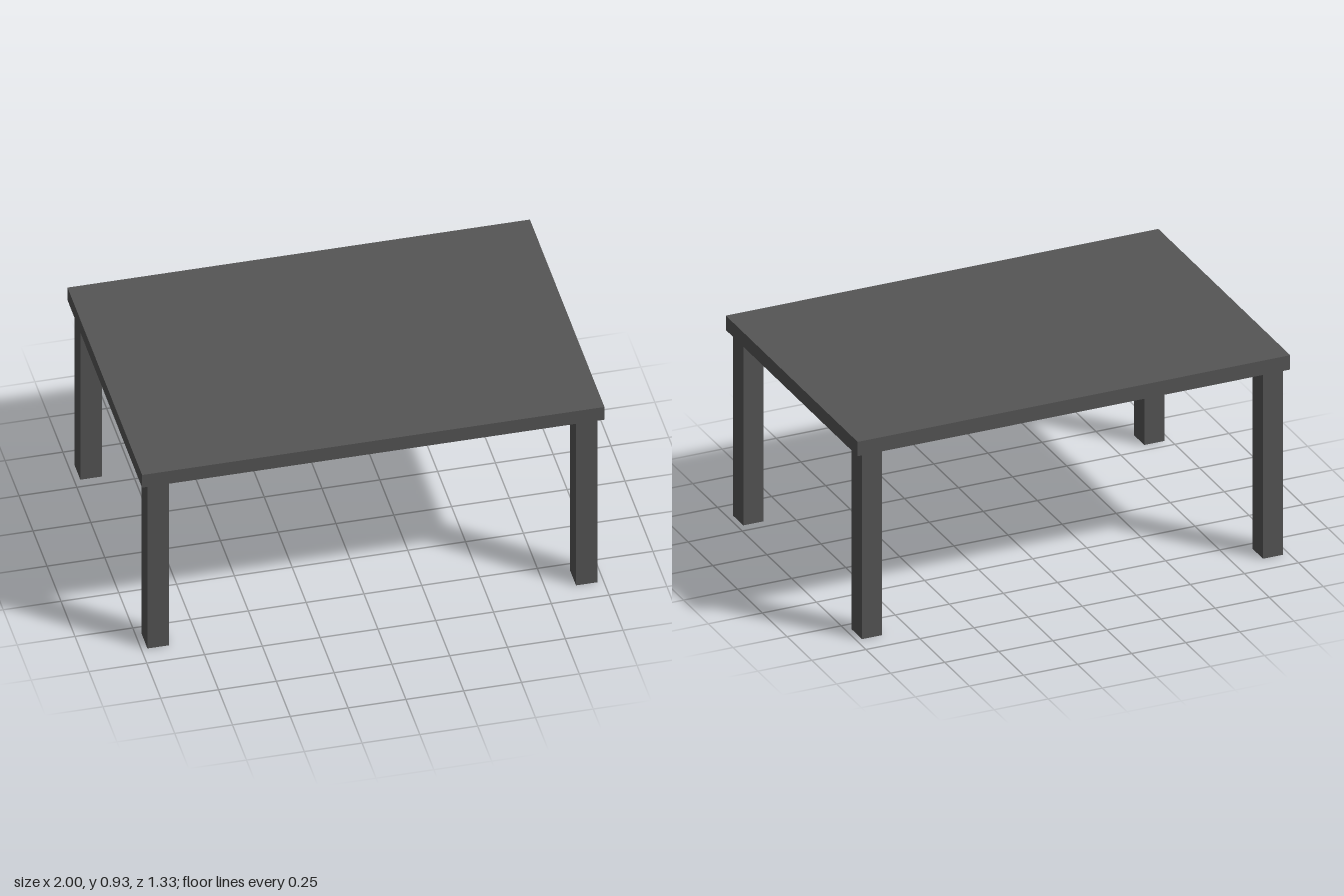
import * as THREE from 'three';

export function createModel() {
  const table = new THREE.Group();
  table.name = 'table';
  const material = new THREE.MeshStandardMaterial({ color: 0x555555 });

  const height = 0.934, topThickness = 0.067;
  const legHeight = height - topThickness;
  const legWidth = 0.093, legDepth = 0.105;
  const legX = 0.927, legZ = 0.6;

  function addBox(name, size, position) {
    const mesh = new THREE.Mesh(new THREE.BoxGeometry(...size), material);
    mesh.name = name;
    mesh.position.set(...position);
    table.add(mesh);
  }

  // Flat rectangular slab
  addBox('tableTop', [2, topThickness, 1.333], [0, height - topThickness / 2, 0]);

  // Four straight legs, slightly inset from the corners
  for (const [sideName, sx] of [['Left', 1], ['Right', -1]]) {
    for (const [endName, sz] of [['front', 1], ['back', -1]]) {
      addBox(`${endName}${sideName}Leg`, [legWidth, legHeight, legDepth],
        [sx * legX, legHeight / 2, sz * legZ]);
    }
  }

  return table;
}
